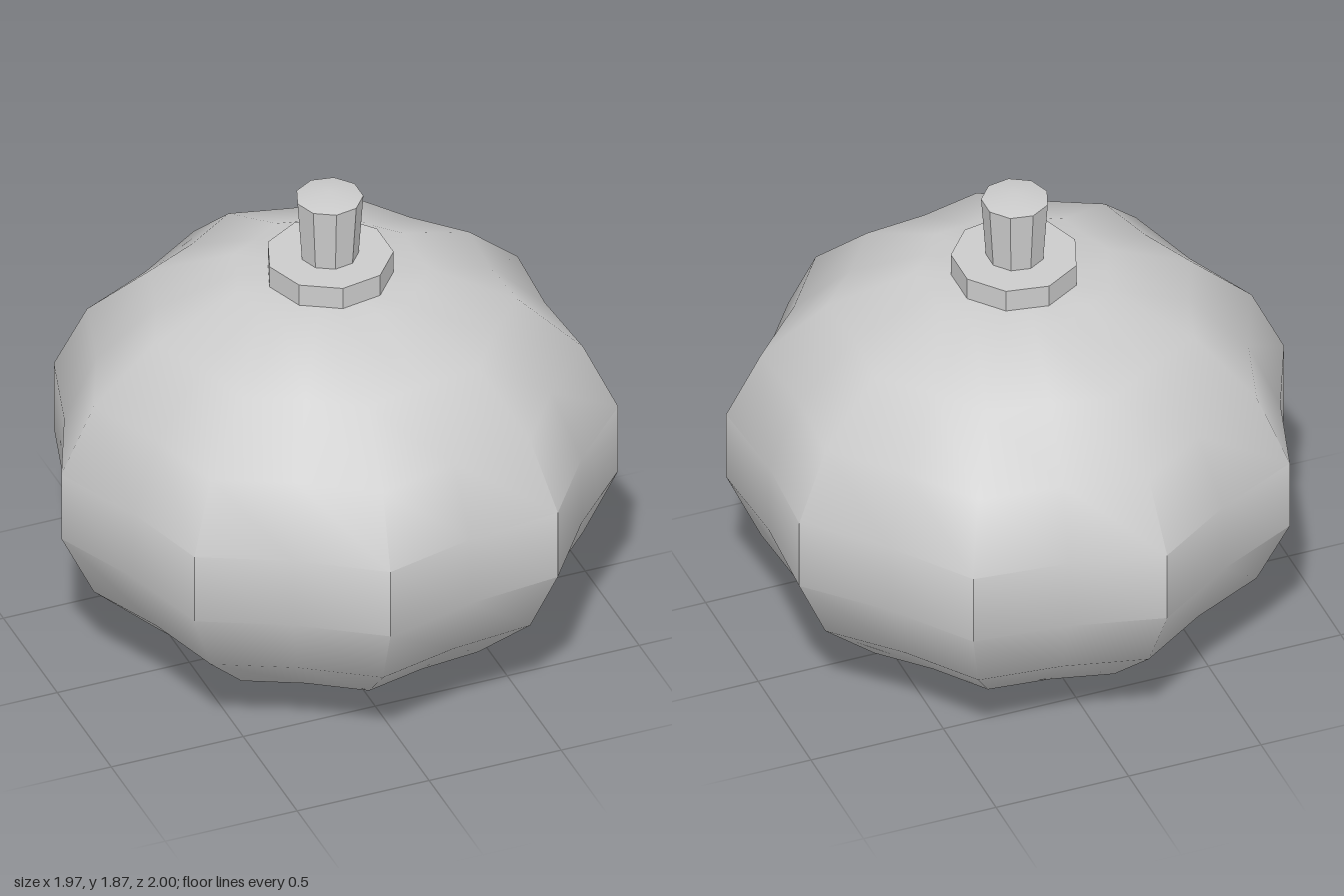
import * as THREE from 'three';
import { toCreasedNormals } from 'three/addons/utils/BufferGeometryUtils.js';

const LOBES = 9;
const material = new THREE.MeshStandardMaterial({ color: 0xcccccc });

function addPart(group, name, geometry, creaseDegrees) {
  const creased = toCreasedNormals(geometry, THREE.MathUtils.degToRad(creaseDegrees));
  const mesh = new THREE.Mesh(creased, material);
  mesh.name = name;
  group.add(mesh);
}

// Squashed sphere with alternate meridians pulled in to form ribs
function ribbedBody() {
  const centreY = 0.785, radius = 1.03;
  const geometry = new THREE.SphereGeometry(1, LOBES * 2, 9);
  const pos = geometry.attributes.position;
  for (let i = 0; i < pos.count; i++) {
    const x = pos.getX(i), y = pos.getY(i), z = pos.getZ(i);
    const rib = 0.9585 + 0.0415 * Math.cos(LOBES * (Math.atan2(z, x) - Math.PI));
    const dimple = y > 0.999 ? 0.07 : 0; // top pole sinks under the collar
    pos.setXYZ(i, x * radius * rib, centreY * (1 + y) - dimple, z * radius * rib);
  }
  return geometry;
}

// Nine-sided turned part, its corners lined up with the ribs
function turned(profile) {
  const points = profile.map(([r, y]) => new THREE.Vector2(r, y));
  return new THREE.LatheGeometry(points, LOBES, -Math.PI / 2);
}

export function createModel() {
  const group = new THREE.Group();
  group.name = 'pumpkin';
  addPart(group, 'body', ribbedBody(), 45);
  addPart(group, 'collar', turned([[0.226, 1.48], [0.226, 1.6], [0, 1.6]]), 30);
  addPart(group, 'stem', turned([[0.102, 1.58], [0.12, 1.84], [0, 1.865]]), 30);
  // Odd rib count: shift so the bounds are centred
  for (const part of group.children) part.position.x = 0.03;
  return group;
}
